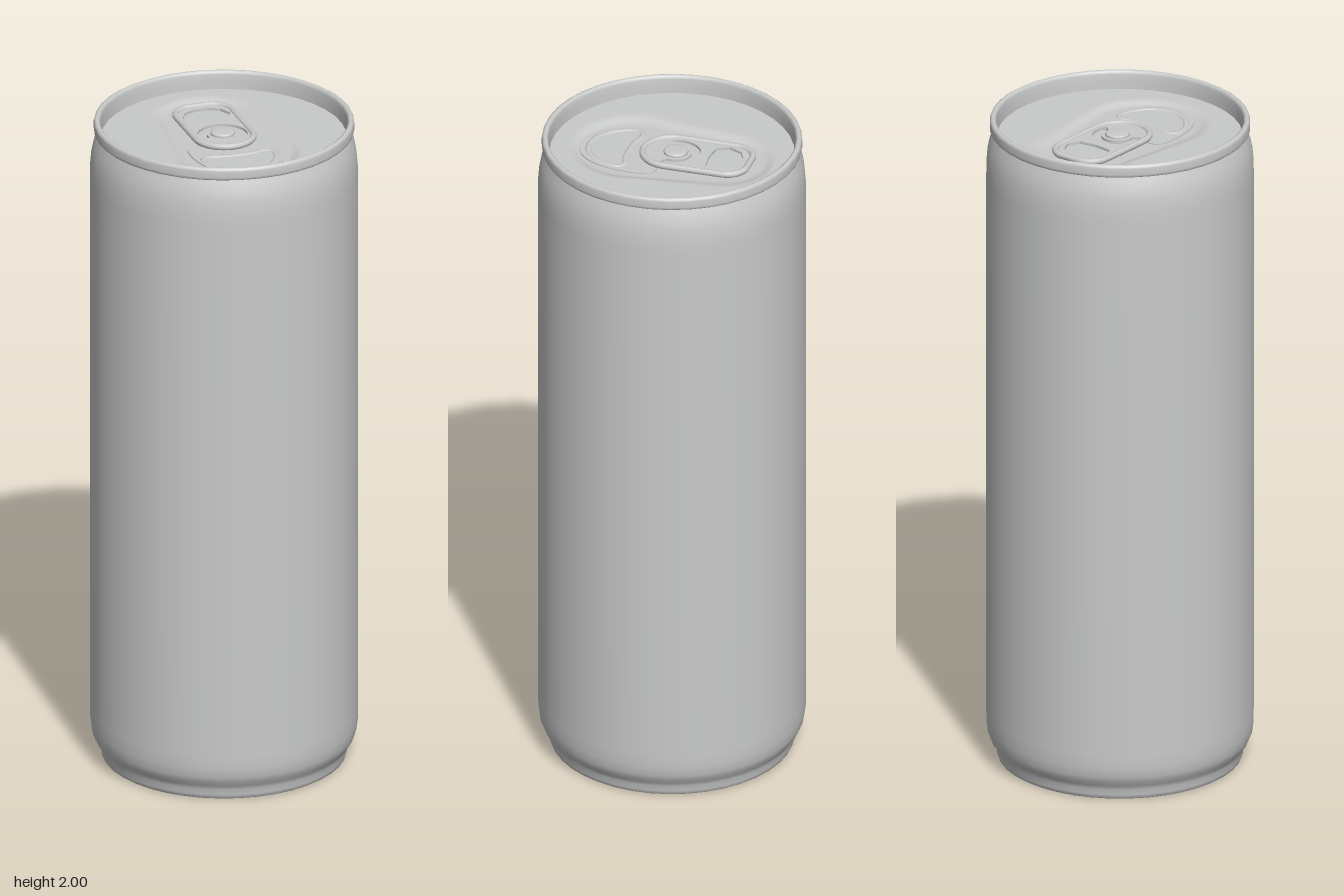
import * as THREE from 'three';
import { mergeVertices } from 'three/addons/utils/BufferGeometryUtils.js';

const LID = 1.945, FLOOR = 1.935; // lid level and level of its sunken panel
const TURN = -0.425; // direction of tab and mouth on the lid

export function createModel() {
  const can = new THREE.Group();
  can.name = 'can';
  const metal = new THREE.MeshStandardMaterial({ color: 0xc9cbca });
  metal.name = 'aluminium';

  const add = (parent, name, geometry, y = 0) => {
    const mesh = new THREE.Mesh(geometry, metal);
    mesh.name = name;
    mesh.position.y = y;
    parent.add(mesh);
    return mesh;
  };
  const lathe = (pts, sides) => new THREE.LatheGeometry(pts.map(p => new THREE.Vector2(...p)), sides);
  const v2 = pts => pts.map(p => new THREE.Vector2(p[0], -p[1]));
  // flat plate lying on its back, drawn in (across, toward mouth)
  const plate = (shape, depth, bevel) => {
    const g = new THREE.ExtrudeGeometry(shape, {
      depth, curveSegments: 16, bevelEnabled: bevel > 0,
      bevelThickness: bevel, bevelSize: bevel, bevelOffset: -bevel, bevelSegments: 2,
    });
    return g.rotateX(-Math.PI / 2);
  };
  // closed rounded bead along a flat outline
  const bead = (pts, radius, flat) => {
    const curve = new THREE.CatmullRomCurve3(pts.map(p => new THREE.Vector3(p[0], 0, p[1])), true, 'centripetal');
    return new THREE.TubeGeometry(curve, 96, radius, 10, true).scale(1, flat, 1);
  };

  // Bottom dome, foot, wall and neck
  add(can, 'body', lathe([
    [0, 0.1], [0.1, 0.093], [0.2, 0.071], [0.28, 0.04], [0.325, 0.014], [0.343, 0.002], [0.35, 0],
    [0.356, 0.004], [0.359, 0.015], [0.361, 0.032], [0.367, 0.045], [0.378, 0.06], [0.386, 0.08],
    [0.39, 0.11], [0.391, 0.15], [0.391, 0.6], [0.391, 1.2], [0.391, 1.82], [0.39, 1.86],
    [0.387, 1.895], [0.381, 1.925], [0.372, 1.95], [0.366, 1.968],
  ], 40));

  // Rolled rim and inner wall
  add(can, 'rim', lathe([
    [0.366, 1.963], [0.376, 1.963], [0.379, 1.966], [0.38, 1.972], [0.38, 1.99], [0.378, 1.997],
    [0.373, 2], [0.368, 2], [0.363, 1.997], [0.361, 1.99], [0.359, 1.97], [0.358, LID - 0.002],
  ], 40));

  // Lid with a soft tapered depression
  let lid = new THREE.RingGeometry(0, 0.361, 80, 44).rotateX(-Math.PI / 2).rotateY(-TURN);
  const pos = lid.attributes.position;
  for (let i = 0; i < pos.count; i++) {
    const x = pos.getX(i), z = pos.getZ(i);
    const t = THREE.MathUtils.clamp((z + 0.155) / 0.27, 0, 1);
    const d = Math.hypot(x, z + 0.155 - 0.27 * t) - (0.14 + 0.035 * t);
    pos.setY(i, THREE.MathUtils.lerp(FLOOR, LID, THREE.MathUtils.smoothstep(d, -0.02, 0.015)));
  }
  lid.deleteAttribute('uv');
  lid.deleteAttribute('normal');
  lid = mergeVertices(lid, 1e-5);
  lid.computeVertexNormals();

  const top = new THREE.Group();
  top.name = 'lidAssembly';
  top.rotation.y = TURN;
  can.add(top);
  add(top, 'lid', lid);

  // Scored mouth panel and the bead pressed into it
  const half = [[0.085, 0.02], [0.11, 0.02], [0.127, 0.036], [0.133, 0.08], [0.13, 0.13],
    [0.116, 0.19], [0.088, 0.238], [0.046, 0.268]];
  const mouth = new THREE.Shape();
  mouth.setFromPoints(new THREE.SplineCurve(v2([
    ...half, [0, 0.278], ...half.map(([x, z]) => [-x, z]).reverse(),
  ])).getPoints(72));
  add(top, 'mouthPanel', plate(mouth, 0.003, 0), FLOOR);
  add(top, 'mouthBead', bead([
    [-0.11, 0.155], [-0.107, 0.125], [-0.085, 0.115], [-0.045, 0.124], [0, 0.128], [0.05, 0.126],
    [0.088, 0.117], [0.106, 0.13], [0.106, 0.16], [0.09, 0.2], [0.06, 0.232], [0.02, 0.247],
    [-0.025, 0.246], [-0.065, 0.225], [-0.096, 0.19],
  ], 0.009, 0.45), FLOOR + 0.002);

  // Pull tab: outline inset by e
  const tabOutline = e => {
    const r = 0.095 - e, c = 0.07 - e, s = new THREE.Shape();
    s.absarc(0, 0, r, Math.PI, 2 * Math.PI, false);
    s.absarc(0.025, 0.175, c, 0, Math.PI * 0.42, false);
    s.absarc(-0.025, 0.175, c, Math.PI * 0.58, Math.PI, false);
    s.closePath();
    return s;
  };
  const tab = new THREE.Group();
  tab.name = 'pullTab';
  top.add(tab);
  const tabShape = tabOutline(0.004);
  const finger = new THREE.Path();
  finger.setFromPoints(v2([
    [-0.073, -0.155], [-0.055, -0.194], [-0.02, -0.21], [0.02, -0.21], [0.055, -0.194],
    [0.073, -0.155], [0.055, -0.118], [0, -0.111], [-0.055, -0.118],
  ]));
  // C-shaped slot around the rivet
  const slot = new THREE.Path();
  slot.absarc(0, 0.012, 0.073, -0.45, Math.PI + 0.45, false);
  slot.absarc(0, 0.012, 0.046, Math.PI + 0.3, -0.3, true);
  slot.closePath();
  tabShape.holes.push(finger, slot);
  add(tab, 'tabPlate', plate(tabShape, 0.008, 0), FLOOR + 0.006);
  const rimPts = tabOutline(0.009).getPoints(14).map(p => [p.x, -p.y])
    .filter((p, i, a) => !i || Math.hypot(p[0] - a[i - 1][0], p[1] - a[i - 1][1]) > 1e-4);
  const [first, last] = [rimPts[0], rimPts[rimPts.length - 1]];
  if (Math.hypot(first[0] - last[0], first[1] - last[1]) < 1e-4) rimPts.pop();
  add(tab, 'tabCurl', bead(rimPts, 0.0095, 1), FLOOR + 0.012);

  // Rivet
  const rivet = add(tab, 'rivet', lathe([
    [0.036, 0], [0.036, 0.018], [0.035, 0.021], [0.031, 0.023], [0.015, 0.024], [0, 0.024],
  ], 20), FLOOR);
  rivet.position.z = -0.012;

  return can;
}
